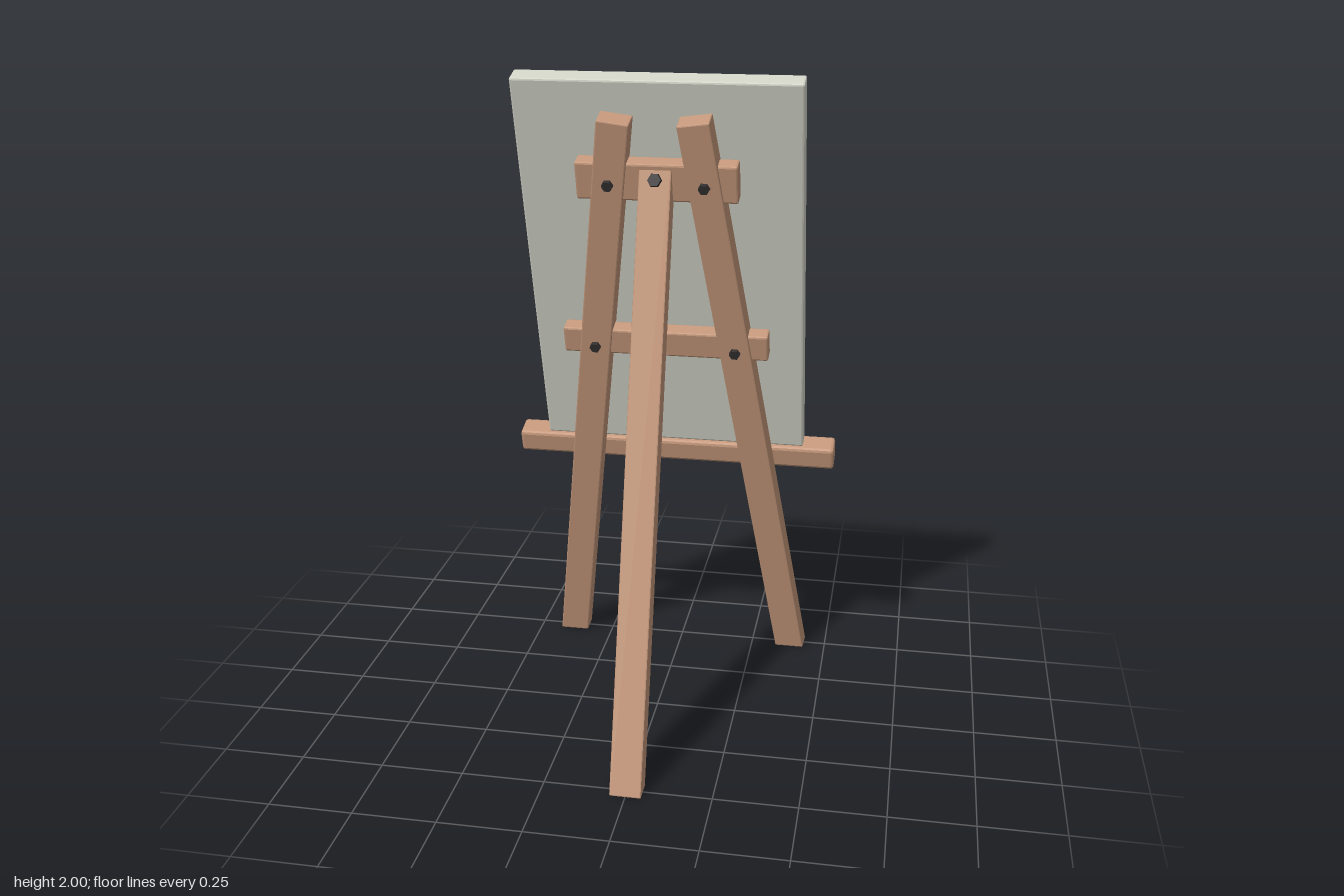
import * as THREE from 'three';
import { RoundedBoxGeometry } from 'three/addons/geometries/RoundedBoxGeometry.js';

const FRAME_TILT = 0.286; // backward lean of the front frame
const LEAN = 0.1365;      // inward lean of the two front legs
const FOOT_X = 0.382, FOOT_Z = -0.498;

function material(name, hex) {
  const m = new THREE.MeshStandardMaterial({ color: hex });
  m.name = name;
  return m;
}

// Box with small chamfers
function bar(name, w, h, d, mat, bevel = 0.006) {
  const geo = new RoundedBoxGeometry(w, h, d, 1, bevel);
  geo.computeVertexNormals();
  const mesh = new THREE.Mesh(geo, mat);
  mesh.name = name;
  return mesh;
}

// Leaning leg: square-cut top, foot cut level with the floor
function leg(name, w, d, topY, foot, tilt, lean, mat) {
  const turn = new THREE.Matrix4().makeRotationX(tilt)
    .multiply(new THREE.Matrix4().makeRotationZ(lean));
  const axis = new THREE.Vector3(0, 1, 0).applyMatrix4(turn);
  const length = topY / axis.y;
  const geo = new RoundedBoxGeometry(w, length, d, 1, 0.004);
  const pos = geo.attributes.position;
  const p = new THREE.Vector3();
  for (let i = 0; i < pos.count; i++) {
    p.fromBufferAttribute(pos, i);
    const rise = p.y + length / 2;
    const isFoot = p.y < 0;
    p.y = rise;
    p.applyMatrix4(turn).add(foot);
    if (isFoot) p.addScaledVector(axis, (rise - p.y) / axis.y);
    pos.setXYZ(i, p.x, p.y, p.z);
  }
  geo.computeVertexNormals();
  const mesh = new THREE.Mesh(geo, mat);
  mesh.name = name;
  return mesh;
}

// Six-sided bolt head pointing along +z or -z
function bolt(name, x, y, z, side, mat, r = 0.02) {
  const geo = new THREE.CylinderGeometry(r * 0.8, r, 0.024, 6).toNonIndexed();
  geo.rotateY(Math.PI / 6 + Math.PI / 3);
  geo.rotateX(side * Math.PI / 2);
  geo.computeVertexNormals();
  const mesh = new THREE.Mesh(geo, mat);
  mesh.name = name;
  mesh.position.set(x, y, z);
  return mesh;
}

export function createModel() {
  const model = new THREE.Group();
  model.name = 'easel';
  const wood = material('wood', 0xc4977a);
  const canvasGrey = material('canvas grey', 0xd2d3c7);
  const iron = material('dark iron', 0x322e2e);

  // Legs
  for (const s of [1, -1]) {
    model.add(leg(s > 0 ? 'frontLegLeft' : 'frontLegRight', 0.094, 0.073, 1.879,
      new THREE.Vector3(s * FOOT_X, 0, FOOT_Z), FRAME_TILT, s * LEAN, wood));
  }
  model.add(leg('rearLeg', 0.094, 0.065, 1.739,
    new THREE.Vector3(0, 0, 0.504), -0.28, 0, wood));

  // Tilted frame: crossbars, tray and their bolts
  const frame = new THREE.Group();
  frame.name = 'frame';
  frame.position.z = FOOT_Z;
  frame.rotation.x = FRAME_TILT;
  model.add(frame);

  const topBar = bar('topCrossbar', 0.47, 0.116, 0.054, wood);
  topBar.position.y = 1.772;
  const midBar = bar('middleCrossbar', 0.63, 0.085, 0.054, wood);
  midBar.position.y = 1.228;
  const tray = bar('tray', 1.03, 0.075, 0.08, wood, 0.01);
  tray.position.set(0, 0.775, -0.0775);
  frame.add(topBar, midBar, tray);

  for (const s of [1, -1]) {
    const legX = (h) => s * (FOOT_X - h * Math.tan(LEAN));
    frame.add(bolt('topBolt', legX(1.766), 1.766, 0.0365, 1, iron));
    frame.add(bolt('middleBolt', legX(1.215), 1.215, 0.0365, 1, iron));
    frame.add(bolt('trayBolt', legX(0.778), 0.778, -0.1175, -1, iron));
  }

  // Hinge bolt on the rear leg
  const hinge = bolt('hingeBolt', 0, 1.705, 0.047, 1, iron, 0.024);
  hinge.rotation.x = -0.28;
  model.add(hinge);

  // Canvas resting on the tray
  const canvas = bar('canvas', 0.832, 1.238, 0.066, canvasGrey, 0.006);
  canvas.position.set(0, 1.399, -0.159);
  canvas.rotation.x = 0.299;
  model.add(canvas);

  return model;
}
